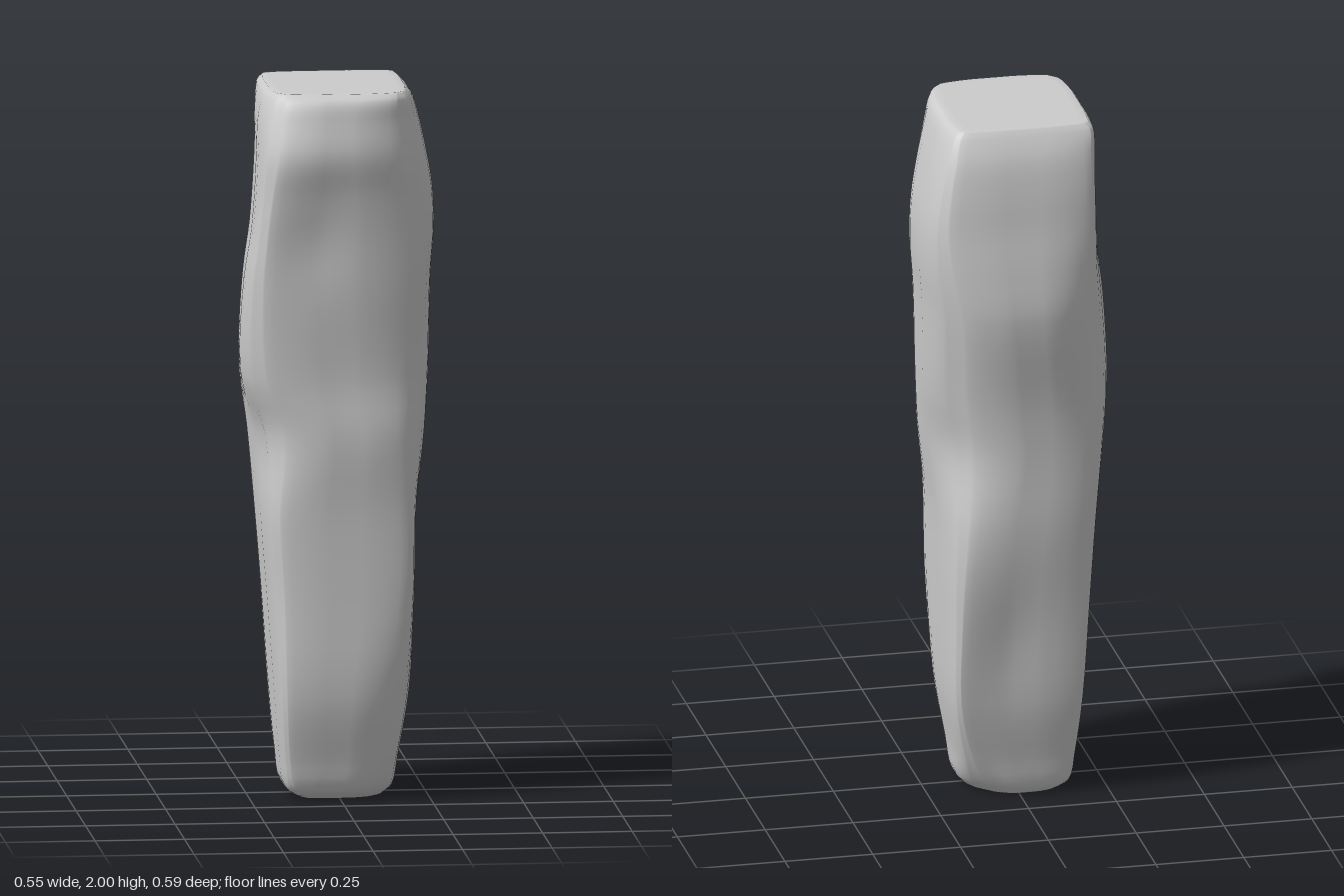
import * as THREE from 'three';

// Each row: height, then reach towards +x, -x, +z, -z and the corners (+x+z), (-x+z), (-x-z), (+x-z)
const SECTIONS = [
  [0.00, 0.13, 0.11, 0.12, 0.13, 0.13, 0.15, 0.16, 0.12],
  [0.03, 0.155, 0.15, 0.165, 0.15, 0.17, 0.20, 0.20, 0.15],
  [0.12, 0.17, 0.165, 0.19, 0.165, 0.205, 0.235, 0.23, 0.20],
  [0.30, 0.20, 0.18, 0.23, 0.20, 0.245, 0.265, 0.25, 0.265],
  [0.58, 0.21, 0.20, 0.235, 0.23, 0.28, 0.27, 0.27, 0.28],
  [0.82, 0.215, 0.22, 0.24, 0.25, 0.285, 0.28, 0.285, 0.275],
  [1.03, 0.24, 0.24, 0.255, 0.25, 0.285, 0.27, 0.295, 0.25],
  [1.20, 0.26, 0.28, 0.255, 0.26, 0.285, 0.31, 0.30, 0.27],
  [1.46, 0.27, 0.275, 0.27, 0.298, 0.30, 0.335, 0.305, 0.315],
  [1.60, 0.28, 0.255, 0.275, 0.285, 0.305, 0.335, 0.305, 0.33],
  [1.72, 0.275, 0.245, 0.285, 0.265, 0.305, 0.33, 0.305, 0.33],
  [1.83, 0.255, 0.24, 0.30, 0.25, 0.30, 0.325, 0.30, 0.315],
  [1.92, 0.23, 0.23, 0.275, 0.23, 0.28, 0.30, 0.285, 0.29],
  [1.98, 0.205, 0.21, 0.25, 0.20, 0.265, 0.275, 0.27, 0.26],
  [2.00, 0.185, 0.195, 0.22, 0.185, 0.25, 0.255, 0.25, 0.245],
];

// Shallow hollows: centre, radius, depth
const HOLLOWS = [
  [-0.10, 1.57, 0.27, 0.13, 0.015],
  [0.06, 0.45, -0.22, 0.17, 0.02],
  [-0.24, 1.00, 0.10, 0.12, 0.02],
  [0.23, 1.02, -0.12, 0.13, 0.015],
];

// Chamfered block outline, corners cut twice to round them (72 points)
function outline([y, px, nx, pz, nz, pp, np, nn, pn]) {
  const cut = (x, z, d) => Math.max(0.03, x + z - d * Math.SQRT2);
  const a = cut(px, pz, pp), b = cut(nx, pz, np), c = cut(nx, nz, nn), d = cut(px, nz, pn);
  // The front and one side lean inwards on the upper half
  const lean = 0.03 * THREE.MathUtils.smoothstep(y, 1, 1.3) * (1 - THREE.MathUtils.smoothstep(y, 1.85, 2));
  let pts = [
    [px - lean / 2, pz - a], [px - a, pz - lean], [-nx + b, pz], [-nx, pz - b],
    [-nx + lean, -nz + c], [-nx + c, -nz], [px - d, -nz], [px, -nz + d],
  ];
  for (let k = 0; k < 2; k++) {
    pts = pts.flatMap((p, i) => {
      const q = pts[(i + 1) % pts.length];
      return [0.22, 0.5, 0.78].map((t) => [p[0] + (q[0] - p[0]) * t, p[1] + (q[1] - p[1]) * t]);
    });
  }
  return pts;
}

// Pull a surface point towards the axis inside each hollow
function hollowed(p) {
  let pull = 0;
  for (const [x, y, z, radius, depth] of HOLLOWS) {
    const d2 = (p.x - x) ** 2 + ((p.y - y) / 1.6) ** 2 + (p.z - z) ** 2;
    pull += depth * Math.exp((-2 * d2) / radius ** 2);
  }
  const k = 1 - pull / Math.hypot(p.x, p.z);
  return [p.x * k, THREE.MathUtils.clamp(p.y, 0, 2), p.z * k];
}

export function createModel() {
  const rings = SECTIONS.map((s) => outline(s).map(([x, z]) => new THREE.Vector3(x, s[0], z)));
  const N = rings[0].length;

  // Smooth the rock between sections along its height
  const columns = rings[0].map((_, j) =>
    new THREE.CatmullRomCurve3(rings.map((r) => r[j]), false, 'centripetal'));
  const rows = (SECTIONS.length - 1) * 4;
  const position = [], index = [];
  const addRing = (t, scale = 1) => columns.forEach((c) => {
    const [x, y, z] = hollowed(c.getPoint(t));
    position.push(x * scale, y, z * scale);
  });

  // Inner rings keep both end faces flat
  addRing(0, 0.85);
  for (let i = 0; i <= rows; i++) addRing(i / rows);
  addRing(1, 0.88);

  const total = rows + 3;
  for (let i = 0; i < total - 1; i++) {
    for (let j = 0; j < N; j++) {
      const k = (j + 1) % N;
      const a = i * N + j, b = i * N + k, c = a + N, d = b + N;
      index.push(a, c, b, b, c, d);
    }
  }

  // End faces
  const bottom = position.length / 3, top = bottom + 1;
  position.push(0, 0, 0, 0, 2, 0);
  for (let j = 0; j < N; j++) {
    const k = (j + 1) % N, last = (total - 1) * N;
    index.push(bottom, j, k, top, last + k, last + j);
  }

  const geometry = new THREE.BufferGeometry();
  geometry.setAttribute('position', new THREE.Float32BufferAttribute(position, 3));
  geometry.setIndex(index);
  geometry.computeVertexNormals();

  const pillar = new THREE.Mesh(geometry, new THREE.MeshStandardMaterial({ color: 0xcccccc }));
  pillar.name = 'stonePillar';
  const group = new THREE.Group();
  group.name = 'standingStone';
  group.add(pillar);
  return group;
}
